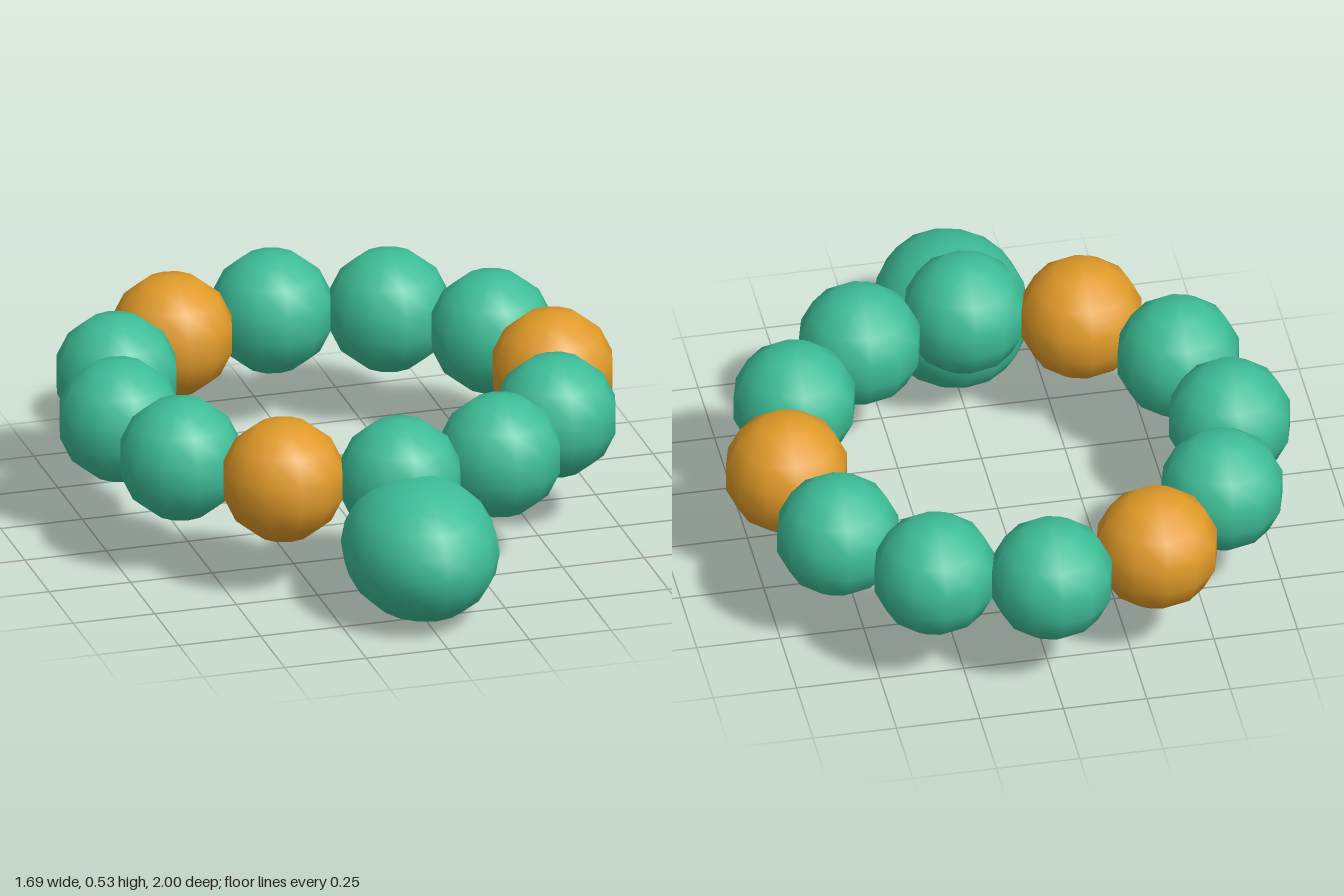
import * as THREE from 'three';

export function createModel() {
  const model = new THREE.Group();

  const green = new THREE.MeshStandardMaterial({ color: 0x3dbd97 });
  green.name = 'green';
  const amber = new THREE.MeshStandardMaterial({ color: 0xe09a28 });
  amber.name = 'amber';

  // Closed ring of twelve beads, every fourth one amber
  const count = 12, ringRadius = 0.664, ringZ = -0.155, ringY = 0.347;
  const beadGeometry = new THREE.SphereGeometry(0.186, 12, 7);
  const ring = new THREE.Group();
  ring.name = 'beadRing';
  for (let i = 0; i < count; i++) {
    const a = (i / count) * Math.PI * 2;
    const bead = new THREE.Mesh(beadGeometry, i % 4 === 0 ? amber : green);
    bead.name = `bead${i + 1}`;
    bead.position.set(Math.cos(a) * ringRadius, ringY, ringZ + Math.sin(a) * ringRadius);
    ring.add(bead);
  }
  model.add(ring);

  // Larger egg-shaped head, hanging low at the front
  const head = new THREE.Mesh(new THREE.SphereGeometry(1, 16, 10), green);
  head.name = 'head';
  head.scale.set(0.229, 0.21, 0.284);
  head.position.set(0, 0.21, 0.715);
  model.add(head);

  return model;
}
